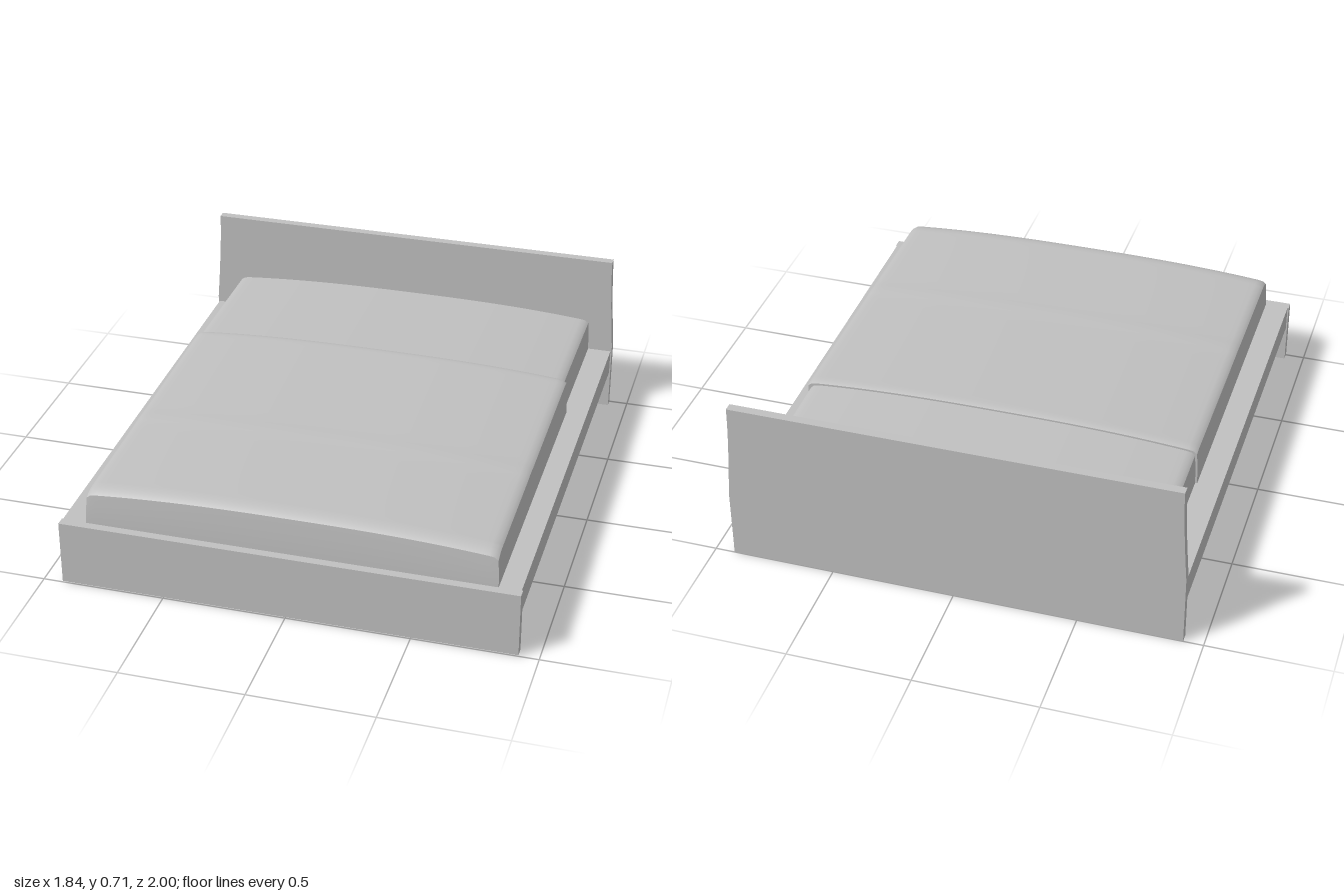
import * as THREE from 'three';

export function createModel() {
  const bed = new THREE.Group();
  bed.name = 'bed';
  const grey = new THREE.MeshStandardMaterial({ color: 0xc0c0c0 });
  grey.name = 'plain grey';

  const add = (name, geometry, parent = bed) => {
    const mesh = new THREE.Mesh(geometry, grey);
    mesh.name = name;
    parent.add(mesh);
    return mesh;
  };

  // Box given by its limits on each axis
  const box = (name, x0, x1, y0, y1, z0, z1, parent) => {
    const g = new THREE.BoxGeometry(x1 - x0, y1 - y0, z1 - z0);
    g.translate((x0 + x1) / 2, (y0 + y1) / 2, (z0 + z1) / 2);
    return add(name, g, parent);
  };

  // Headboard: straight below, sides curving in towards the top
  const head = new THREE.Shape();
  head.moveTo(-0.92, 0);
  head.lineTo(0.92, 0);
  head.lineTo(0.92, 0.3);
  head.quadraticCurveTo(0.897, 0.58, 0.898, 0.71);
  head.lineTo(-0.898, 0.71);
  head.quadraticCurveTo(-0.897, 0.58, -0.92, 0.3);
  const headGeometry = new THREE.ExtrudeGeometry(head, { depth: 0.036, bevelEnabled: false, curveSegments: 8 });
  headGeometry.translate(0, 0, -1);
  add('headboard', headGeometry);

  // Footboard and side rails
  box('footboard', -0.92, 0.92, 0.005, 0.275, 0.962, 1);
  for (const s of [-1, 1]) {
    const [a, b] = [s * 0.8, s * 0.915].sort((p, q) => p - q);
    box('sideRail', a, b, 0.168, 0.275, -0.965, 0.963);
    const [c, d] = [s * 0.7, s * 0.745].sort((p, q) => p - q);
    box('slatSupport', c, d, 0.175, 0.21, -0.965, 0.963);
  }

  // Centre beam made of two bars
  box('centreBeam', -0.05, -0.01, 0.17, 0.21, -0.965, 0.963);
  box('centreBeam', 0.01, 0.05, 0.17, 0.21, -0.965, 0.963);

  // Slats under the mattress
  const slats = new THREE.Group();
  slats.name = 'slats';
  bed.add(slats);
  const count = 18;
  for (let i = 0; i < count; i++) {
    const z = -0.9 + (i * 1.8) / (count - 1);
    box('slat', -0.8, 0.8, 0.21, 0.23, z - 0.034, z + 0.034, slats);
  }

  // Bracket plates, drawn in the (z, y) plane and extruded across x
  const bracket = (name, points, x, width) => {
    const shape = new THREE.Shape(points.map(([z, y]) => new THREE.Vector2(-z, y)));
    const g = new THREE.ExtrudeGeometry(shape, { depth: width, bevelEnabled: false });
    g.rotateY(Math.PI / 2);
    g.translate(x - width / 2, 0, 0);
    add(name, g);
  };
  const footProfile = [[0.963, 0.18], [0.963, 0.045], [0.93, 0.055], [0.872, 0.14], [0.872, 0.18]];
  const headProfile = [[-0.965, 0.18], [-0.965, 0.075], [-0.9, 0.165], [-0.9, 0.18]];
  for (const x of [-0.745, -0.69, 0, 0.69, 0.745]) {
    const width = x === 0 ? 0.04 : 0.018;
    bracket('footBracket', footProfile, x, width);
    bracket('headBracket', headProfile, x, width);
  }

  // Soft block: domed top, rounded upper rim, sides leaning in slightly
  const cushion = (name, x0, x1, z0, z1, bottom, topAt) => {
    const g = new THREE.BoxGeometry(2, 1, 2, 40, 4, 48);
    const p = g.attributes.position;
    const cx = (x0 + x1) / 2, w = (x1 - x0) / 2;
    const cz = (z0 + z1) / 2, d = (z1 - z0) / 2;
    const spread = (t) => Math.sign(t) * (1 - Math.pow(1 - Math.abs(t), 1.35));
    for (let i = 0; i < p.count; i++) {
      const u = spread(p.getX(i)), v = spread(p.getZ(i)), t = p.getY(i) + 0.5;
      const x = cx + u * w * (1 - 0.008 * t * t);
      const z = cz + v * d;
      p.setXYZ(i, x, bottom + t * (topAt(u, z) - bottom), z > 0.9 ? z - 0.01 * t * t : z);
    }
    g.computeVertexNormals();
    add(name, g);
  };

  const rim = (distance, radius, drop) => {
    const k = Math.max(0, 1 - distance / radius);
    return drop * k * k;
  };
  const dome = (u) => 0.03 * (1 - Math.pow(Math.abs(u), 2.6)) - rim(1 - Math.abs(u), 0.03, 0.012);

  // Mattress, seen at the head end
  cushion('mattress', -0.81, 0.815, -0.964, -0.3, 0.23,
    (u, z) => 0.414 + dome(u) + 0.008 * (z + 0.964) / 0.6);

  // Cover over the rest, with a low fold line across it
  cushion('cover', -0.818, 0.828, -0.38, 0.966, 0.23, (u, z) => {
    const slope = 0.02 * Math.pow(Math.max(0, (0.966 - z) / 1.346), 0.8);
    const fold = 0.003 * Math.exp(-Math.pow((z - 0.37) / 0.03, 2));
    return 0.415 + slope + dome(u) + fold - rim(0.966 - z, 0.06, 0.016) - rim(z + 0.38, 0.03, 0.006);
  });

  return bed;
}
